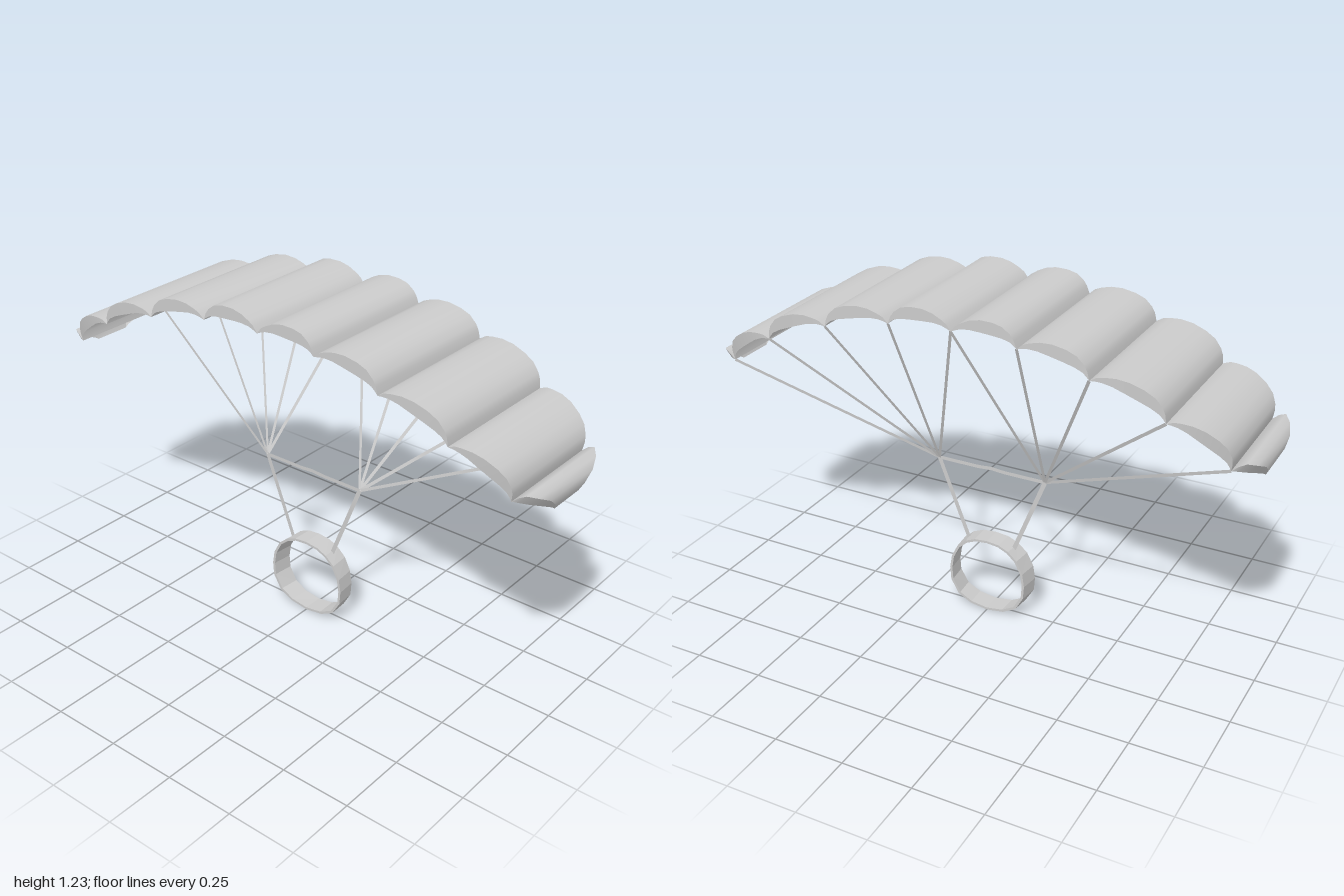
import * as THREE from 'three';

const material = new THREE.MeshStandardMaterial({ color: 0xcccccc, side: THREE.DoubleSide });

// Valleys between the canopy cells, centre to tip: x, y, half depth
const valleys = [
  [0, 1.175, 0.275], [0.23, 1.16, 0.275], [0.475, 1.105, 0.275],
  [0.72, 1.008, 0.257], [0.915, 0.873, 0.205], [0.985, 0.815, 0.07],
];
// Cell cross-section: position along the chord, height of the skin, height of the lip's lower edge
const cellProfile = [
  [0, 0, 0], [0.06, 0.022, 0.008], [0.14, 0.036, 0.016], [0.27, 0.053, 0.022], [0.43, 0.064, 0.023],
  [0.62, 0.066, 0.023], [0.77, 0.06, 0.022], [0.89, 0.042, 0.017], [0.95, 0.025, 0.009], [1, 0, 0],
];
const tipProfile = [
  [0, 0, 0], [0.05, 0.028, 0.005], [0.17, 0.052, 0.012], [0.45, 0.057, 0.018],
  [0.74, 0.051, 0.016], [0.93, 0.025, 0.008], [1, 0, 0],
];

// Sheet between two rows of points
function strip(name, rowA, rowB) {
  const positions = [], index = [];
  rowA.forEach((a, i) => {
    positions.push(...a, ...rowB[i]);
    if (i > 0) {
      const k = 2 * i;
      index.push(k - 2, k - 1, k, k, k - 1, k + 1);
    }
  });
  const geometry = new THREE.BufferGeometry();
  geometry.setAttribute('position', new THREE.Float32BufferAttribute(positions, 3));
  geometry.setIndex(index);
  geometry.computeVertexNormals();
  const mesh = new THREE.Mesh(geometry, material);
  mesh.name = name;
  return mesh;
}

// One inflated cell: curved skin with a crescent lip at the front and back
function canopyCell(i, side) {
  const [x0, y0, w0] = valleys[i], [x1, y1, w1] = valleys[i + 1];
  const length = Math.hypot(x1 - x0, y1 - y0);
  const nx = (y0 - y1) / length, ny = (x1 - x0) / length;
  const profile = i === valleys.length - 2 ? tipProfile : cellProfile;
  const row = (column, zSign) => profile.map((p) => {
    const t = p[0], h = p[column];
    const w = w0 + (w1 - w0) * Math.pow(t, 1.6);
    return [side * (x0 + (x1 - x0) * t + nx * h), y0 + (y1 - y0) * t + ny * h, zSign * w];
  });
  const cell = new THREE.Group();
  cell.name = 'canopyCell';
  const rows = side > 0 ? [row(1, -1), row(1, 1)] : [row(1, 1), row(1, -1)];
  cell.add(strip('cellSkin', rows[0], rows[1]));
  cell.add(strip('frontLip', row(1, 1), row(2, 1)));
  cell.add(strip('backLip', row(2, -1), row(1, -1)));
  return cell;
}

// Flat ribbon between points, its width lying in the x-y plane
function ribbon(name, points, width) {
  const first = points[0], last = points[points.length - 1];
  const dx = last[0] - first[0], dy = last[1] - first[1];
  const k = width / 2 / Math.hypot(dx, dy);
  const edge = (s) => points.map((p) => [p[0] - s * dy * k, p[1] + s * dx * k, p[2]]);
  return strip(name, edge(1), edge(-1));
}

// Harness hoop: rounded band, a little narrower at the back
function harnessHoop() {
  const half = [
    [0, 0.29], [0.05, 0.285], [0.09, 0.268], [0.125, 0.238], [0.15, 0.19],
    [0.158, 0.14], [0.154, 0.09], [0.122, 0.037], [0.07, 0.01], [0, 0],
  ];
  const outline = [...half, ...half.slice(1, -1).reverse().map(([x, y]) => [-x, y])];
  const loop = (s) => outline.map(([x, y]) => new THREE.Vector2(x * s, 0.145 + (y - 0.145) * s));
  const shape = new THREE.Shape(loop(1));
  shape.holes.push(new THREE.Path(loop(0.94)));
  const geometry = new THREE.ExtrudeGeometry(shape, { depth: 0.074, bevelEnabled: false });
  geometry.translate(0, 0, -0.037);
  const pos = geometry.attributes.position;
  for (let i = 0; i < pos.count; i++) {
    if (pos.getZ(i) < 0) pos.setX(i, pos.getX(i) * 0.95);
  }
  geometry.computeVertexNormals();
  const mesh = new THREE.Mesh(geometry, material);
  mesh.name = 'harnessHoop';
  return mesh;
}

export function createModel() {
  const model = new THREE.Group();
  model.name = 'parachute';

  const canopy = new THREE.Group();
  canopy.name = 'canopy';
  const lines = new THREE.Group();
  lines.name = 'lines';

  for (const side of [1, -1]) {
    const knot = [side * 0.207, 0.56, 0];
    for (let i = 0; i < valleys.length - 1; i++) {
      canopy.add(canopyCell(i, side));
      // Suspension line to the back edge of each valley
      const [x, y, w] = valleys[i];
      lines.add(ribbon('suspensionLine', [knot, [side * x, y, -w]], 0.011));
    }
    // Riser from the knot to the hoop
    lines.add(ribbon('riser', [knot, [side * 0.09, 0.262, 0]], 0.016));
  }

  // Control bar, slightly raised in the middle
  const bar = [[-0.207, 0.56, 0], [-0.05, 0.56, 0], [0, 0.564, 0], [0.05, 0.56, 0], [0.207, 0.56, 0]];
  lines.add(ribbon('controlBar', bar, 0.013));

  model.add(canopy, lines, harnessHoop());
  return model;
}
